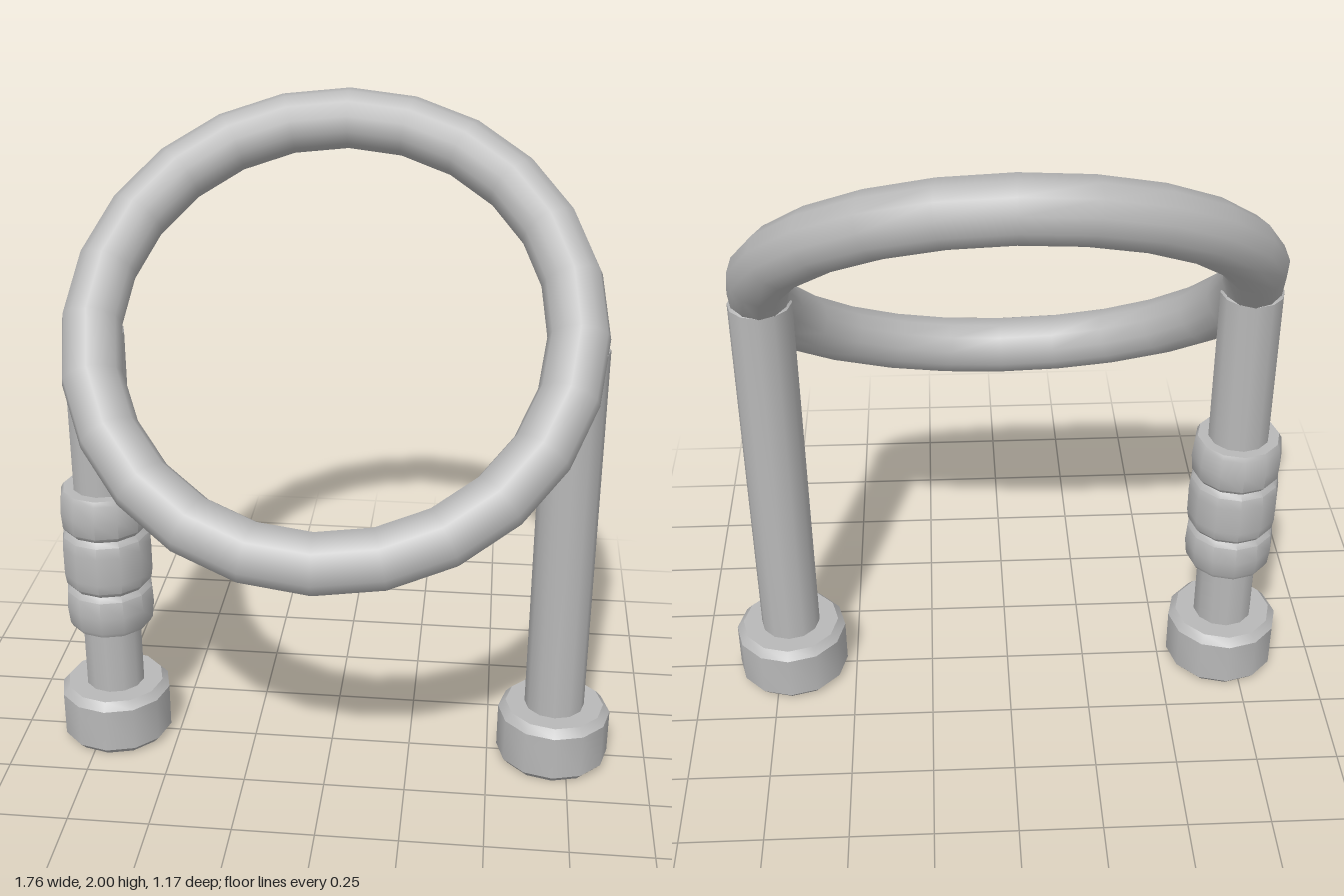
import * as THREE from 'three';
import { toCreasedNormals } from 'three/addons/utils/BufferGeometryUtils.js';

const SIDES = 12;
const POST_X = 0.705;

// Turned part from a bottom-to-top [radius, y] profile
function turned(name, profile, material, x) {
  const points = profile.map(([r, y]) => new THREE.Vector2(r, y));
  const geometry = toCreasedNormals(new THREE.LatheGeometry(points, SIDES), 0.65);
  const mesh = new THREE.Mesh(geometry, material);
  mesh.name = name;
  mesh.position.x = x;
  return mesh;
}

export function createModel() {
  const model = new THREE.Group();
  model.name = 'tiltedRingStand';
  const grey = new THREE.MeshStandardMaterial({ color: 0xb8b8b8 });
  grey.name = 'grey';

  // Ring tilted backward over the posts
  const ring = new THREE.Mesh(new THREE.TorusGeometry(0.705, 0.09, 12, 24), grey);
  ring.name = 'ring';
  ring.position.y = 1.412;
  ring.rotation.x = -Math.PI / 4;
  model.add(ring);

  // Two posts on bevelled feet
  const foot = [[0, 0], [0.155, 0], [0.175, 0.022], [0.175, 0.165], [0.153, 0.19], [0, 0.19]];
  const post = [[0, 0.1], [0.093, 0.1], [0.093, 1.38], [0.085, 1.388], [0, 1.388]];
  for (const [side, sign] of [['left', 1], ['right', -1]]) {
    model.add(turned(side + 'Foot', foot, grey, sign * POST_X));
    model.add(turned(side + 'Post', post, grey, sign * POST_X));
  }

  // Grip of three rounded bands on the right post
  const grip = [
    [0.09, 0.41], [0.125, 0.41], [0.133, 0.425], [0.139, 0.48], [0.135, 0.535], [0.122, 0.551],
    [0.135, 0.567], [0.14, 0.6], [0.14, 0.69], [0.135, 0.725], [0.122, 0.741],
    [0.135, 0.757], [0.139, 0.81], [0.133, 0.865], [0.125, 0.88], [0.09, 0.88],
  ];
  model.add(turned('grip', grip, grey, -POST_X));

  return model;
}
